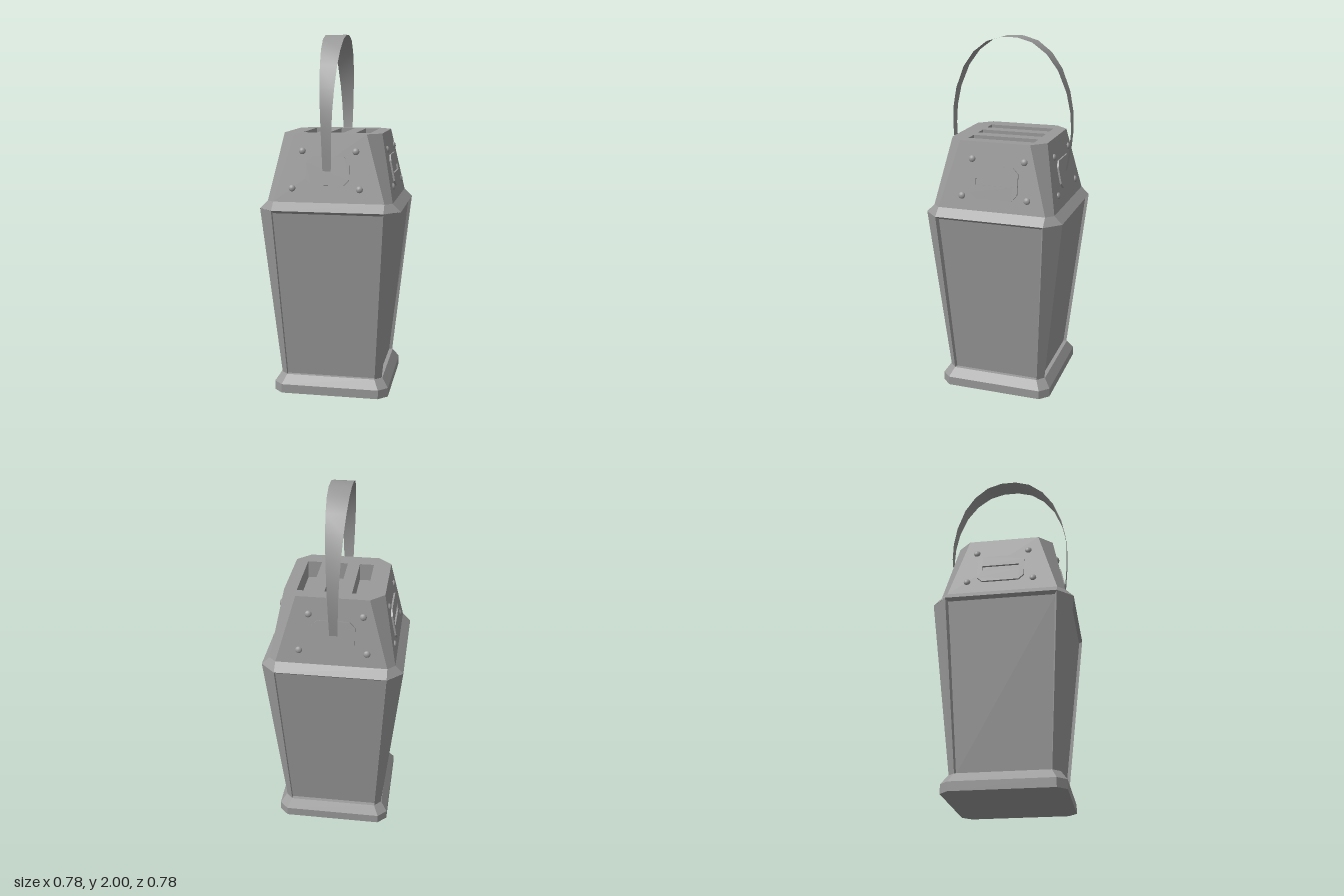
import * as THREE from 'three';

const GREY = 0x999999;
const material = new THREE.MeshStandardMaterial({ color: GREY, flatShading: true });
const smooth = new THREE.MeshStandardMaterial({ color: GREY });
const thin = new THREE.MeshStandardMaterial({ color: GREY, side: THREE.DoubleSide });

function addMesh(parent, name, geometry, mat = material) {
  const mesh = new THREE.Mesh(geometry, mat);
  mesh.name = name;
  parent.add(mesh);
  return mesh;
}

// Square ring with cut corners: h = half size, f = half length of the straight side
const octagon = (h, f) => [[h, -f], [h, f], [f, h], [-f, h], [-h, f], [-h, -f], [-f, -h], [f, -h]];

// Joins rings given as [y, [[x, z], ...]] from bottom to top
function loft(rings, capTop = true) {
  const out = [];
  const put = (r, j) => {
    const [y, pts] = rings[r];
    const [x, z] = pts[j % pts.length];
    out.push(x, y, z);
  };
  const n = rings[0][1].length;
  const last = rings.length - 1;
  for (let r = 0; r < last; r++) {
    for (let j = 0; j < n; j++) {
      put(r, j); put(r + 1, j); put(r, j + 1);
      put(r, j + 1); put(r + 1, j); put(r + 1, j + 1);
    }
  }
  for (let j = 1; j < n - 1; j++) {
    put(0, 0); put(0, j); put(0, j + 1);
    if (capTop) { put(last, 0); put(last, j + 1); put(last, j); }
  }
  const geometry = new THREE.BufferGeometry();
  geometry.setAttribute('position', new THREE.Float32BufferAttribute(out, 3));
  geometry.computeVertexNormals();
  return geometry;
}

const polygon = (pts) => pts.map(([x, y]) => new THREE.Vector2(x, y));
const rectangle = (x0, x1, y0, y1) => new THREE.Path(polygon([[x0, y0], [x1, y0], [x1, y1], [x0, y1]]));

// Flat plate with cut corners, optionally with a horizontal slot
function plateGeometry(w, h, slotted) {
  const c = 0.03;
  const shape = new THREE.Shape(polygon([
    [-w + c, -h], [w - c, -h], [w, -h + c], [w, h - c], [w - c, h], [-w + c, h], [-w, h - c], [-w, -h + c],
  ]));
  if (slotted) shape.holes.push(rectangle(-0.105, 0.105, -0.015, 0.02));
  return new THREE.ExtrudeGeometry(shape, { depth: 0.01, bevelEnabled: false });
}

// Strap handle: a thin band that widens towards the top of its arch
function handleGeometry() {
  const half = [[0.325, 1.27], [0.339, 1.38], [0.347, 1.5], [0.342, 1.6], [0.32, 1.71], [0.272, 1.83],
    [0.21, 1.915], [0.13, 1.975], [0.045, 2]];
  const path = [...half, ...half.slice().reverse().map(([z, y]) => [-z, y])];
  const pos = [];
  const index = [];
  path.forEach(([z, y], i) => {
    const t = (y - 1.27) / 0.73;
    const w = 0.023 + 0.013 * t + 0.024 * t * t;
    const back = Math.min(0.007, 0.03 * t);
    pos.push(-0.012 - w, y, z - back, -0.012 + w, y, z - back);
    if (i) {
      const a = 2 * i - 2;
      index.push(a, a + 1, a + 2, a + 1, a + 3, a + 2);
    }
  });
  const geometry = new THREE.BufferGeometry();
  geometry.setAttribute('position', new THREE.Float32BufferAttribute(pos, 3));
  geometry.setIndex(index);
  geometry.computeVertexNormals();
  return geometry;
}

export function createModel() {
  const model = new THREE.Group();
  model.name = 'lantern';

  // Foot
  addMesh(model, 'base', loft([[0, octagon(0.325, 0.275)], [0.05, octagon(0.325, 0.275)], [0.1, octagon(0.29, 0.25)]]));

  // Recessed panels between the corner posts
  addMesh(model, 'panels', loft([[0.09, octagon(0.267, 0.25)], [1.05, octagon(0.372, 0.306)]]));

  // Corner posts, with a wider bevel towards the side panels than towards front and back
  const post = (h, f, ex, ez) => [[h, f], [f, h], [f - ez, h - 0.024], [h - 0.024, f - ex]];
  for (let k = 0; k < 4; k++) {
    const [ex, ez] = k % 2 ? [0.003, 0.016] : [0.016, 0.003];
    const geometry = loft([[0.085, post(0.285, 0.25, ex / 2, ez / 2)], [1.055, post(0.39, 0.306, ex, ez)]]);
    addMesh(model, 'cornerPost', geometry).rotation.y = k * Math.PI / 2;
  }

  // Tapered lid, open at the top where the vent block sits
  addMesh(model, 'lid', loft([
    [1.04, octagon(0.37, 0.296)], [1.056, octagon(0.39, 0.306)],
    [1.1, octagon(0.345, 0.305)], [1.467, octagon(0.272, 0.198)],
  ], false));

  // Vent block with three slots and a floor below them
  const top = new THREE.Shape(polygon(octagon(0.272, 0.198)));
  for (const x of [-0.135, 0.014, 0.163]) top.holes.push(rectangle(x - 0.04, x + 0.04, -0.175, 0.2));
  const vent = addMesh(model, 'ventTop', new THREE.ExtrudeGeometry(top, { depth: 0.1, bevelEnabled: false }));
  vent.rotation.x = -Math.PI / 2;
  vent.position.y = 1.367;
  addMesh(model, 'ventFloor', new THREE.BoxGeometry(0.48, 0.02, 0.46)).position.y = 1.359;

  // Plates and low domed rivets on the four sloping lid faces
  const slope = 0.073 / 0.367;
  const tilt = -Math.atan(slope);
  const surface = (y) => 0.345 - (y - 1.1) * slope;
  const rivet = new THREE.LatheGeometry(
    polygon([[0.019, 0], [0.018, 0.005], [0.014, 0.009], [0.008, 0.012], [0, 0.013]]), 12).rotateX(Math.PI / 2);
  const plateShift = [-0.008, 0.012, 0.008, -0.012];
  const upperShift = [-0.005, 0.024, 0.019, -0.005];
  const lowerShift = [-0.017, 0.014, 0.008, -0.014];
  for (let k = 0; k < 4; k++) {
    const face = new THREE.Group();
    face.name = 'lidFace';
    face.rotation.y = k * Math.PI / 2;
    model.add(face);
    const side = k % 2 === 1;
    const place = (mesh, x, y) => {
      mesh.position.set(x, y, surface(y));
      mesh.rotation.x = tilt;
    };
    if (side) place(addMesh(face, 'slottedPlate', plateGeometry(0.132, 0.088, true)), plateShift[k], 1.254);
    else place(addMesh(face, 'handlePlate', plateGeometry(0.118, 0.078, false)), plateShift[k], 1.268);
    for (const s of [-1, 1]) {
      place(addMesh(face, 'rivet', rivet, smooth), s * 0.147 + upperShift[k], 1.375);
      place(addMesh(face, 'rivet', rivet, smooth), s * 0.185 + lowerShift[k], 1.175);
    }
  }

  addMesh(model, 'handle', handleGeometry(), thin);
  return model;
}
